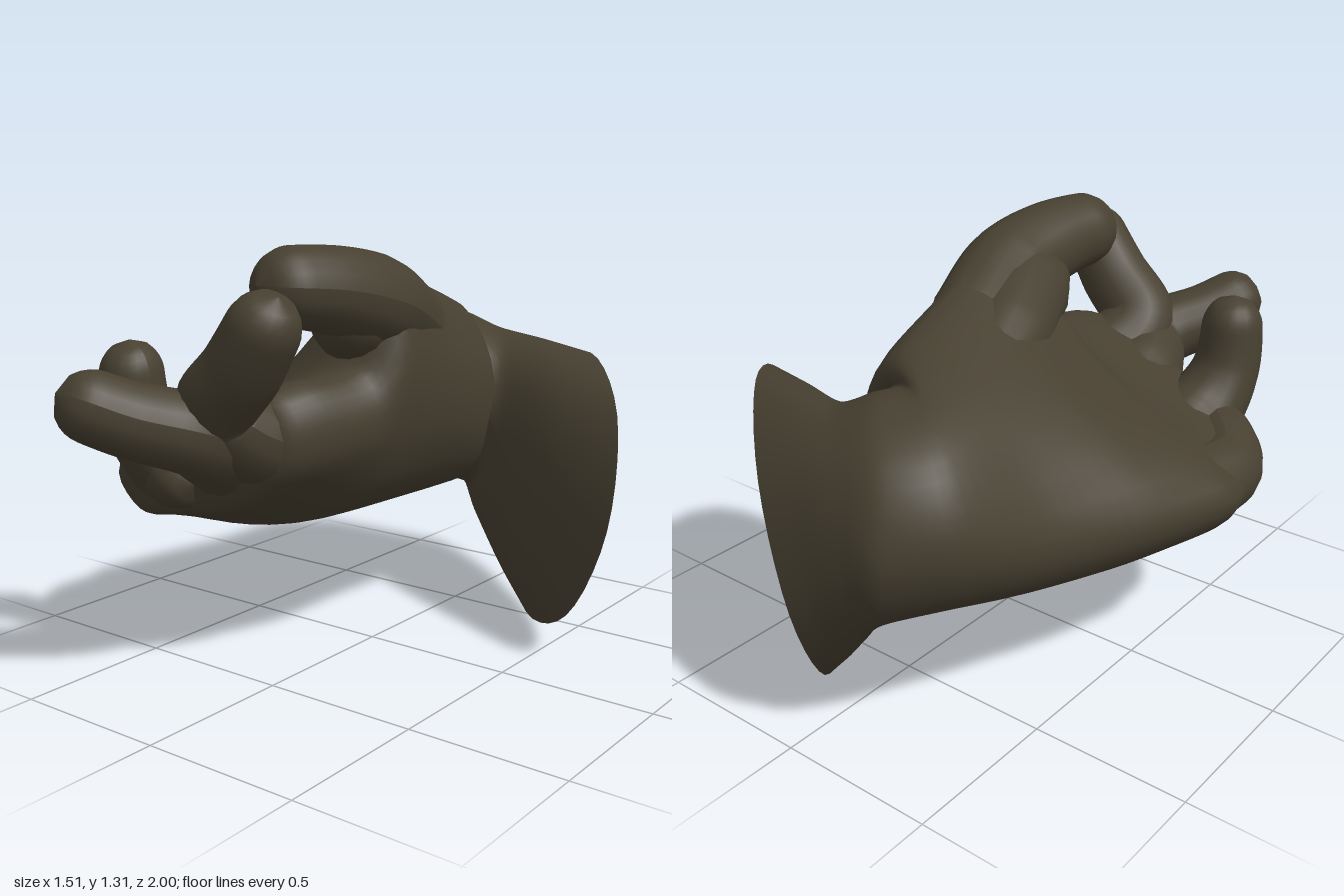
import * as THREE from 'three';

const V = (x, y, z) => new THREE.Vector3(x, y, z);

// Oval of 8 points standing on the line Q -> P in plan; lean pushes its top outwards
function oval(P, Q, yc, ry, lean = 0) {
  const out = [];
  for (let k = 0; k < 8; k++) {
    const a = Math.PI + k * Math.PI / 4, c = (Math.cos(a) + 1) / 2, s = Math.sin(a);
    out.push(V(Q[0] + (P[0] - Q[0]) * c + lean * s, yc + ry * s, Q[1] + (P[1] - Q[1]) * c - lean * s));
  }
  return out;
}

// Smooth skin through rings of 8 points, curved both along and around
function loft(rings, rows, cols) {
  const rails = rings[0].map((_, k) => new THREE.CatmullRomCurve3(rings.map(r => r[k]), false, 'catmullrom', 0.4));
  const pos = [], idx = [];
  for (let i = 0; i <= rows; i++) {
    const loop = new THREE.CatmullRomCurve3(rails.map(c => c.getPoint(i / rows)), true, 'catmullrom', 0.5);
    for (let j = 0; j < cols; j++) {
      pos.push(...loop.getPoint(j / cols).toArray());
      if (i === rows) continue;
      const a = i * cols + j, b = i * cols + (j + 1) % cols;
      idx.push(a, b, b + cols, a, b + cols, a + cols);
    }
  }
  const g = new THREE.BufferGeometry();
  g.setAttribute('position', new THREE.Float32BufferAttribute(pos, 3));
  g.setIndex(idx);
  g.computeVertexNormals();
  return g;
}

// Tapered tube with a rounded tip; each station is [x, y, z, radius]
function finger(stations) {
  const curve = new THREE.CatmullRomCurve3(stations.map(s => V(s[0], s[1], s[2])));
  const N = 40, M = 18, len = curve.getLength(), last = stations.length - 1;
  const g = new THREE.TubeGeometry(curve, N, 1, M, false);
  const p = g.attributes.position, v = V(0, 0, 0);
  for (let i = 0; i <= N; i++) {
    const t = i / N, c = curve.getPointAt(t);
    const f = curve.getUtoTmapping(t) * last, k = Math.min(Math.floor(f), last - 1);
    let r = THREE.MathUtils.lerp(stations[k][3], stations[k + 1][3], f - k);
    const s = Math.min(1, (1 - t) * len / r);
    r *= Math.sqrt(Math.max(0, 1 - (1 - s) ** 2));
    for (let j = 0; j <= M; j++) {
      const n = i * (M + 1) + j;
      v.fromBufferAttribute(p, n).sub(c).multiplyScalar(r).add(c);
      p.setXYZ(n, v.x, v.y, v.z);
    }
  }
  g.computeVertexNormals();
  return g;
}

export function createModel() {
  const group = new THREE.Group();
  const leather = new THREE.MeshStandardMaterial({ color: 0x474031, side: THREE.DoubleSide });
  leather.name = 'dark olive leather';
  const add = (name, geometry) => {
    const m = new THREE.Mesh(geometry, leather);
    m.name = name;
    group.add(m);
  };

  // Flared cuff and bent wrist, from the open rim inwards
  const rings = [
    oval([0.75, -0.17], [-0.03, -0.99], 0.455, 0.455, 0.07),
    oval([0.46, -0.31], [-0.11, -0.98], 0.53, 0.405, 0.05),
    oval([0.2, -0.45], [-0.22, -0.97], 0.62, 0.335, 0.03),
    oval([0.13, -0.47], [-0.34, -0.95], 0.69, 0.315),
    oval([0.12, -0.46], [-0.47, -0.8], 0.71, 0.31),
  ];
  // Hand sections: little-finger edge, back of the hand, thumb side, thumb ridge, palm
  const hand = [
    [-0.5, [-0.56, 0.66, -0.48, 0.46, -0.25, 0.4, 0, 0.44, 0.13, 0.62, 0.13, 0.88, -0.03, 1.07, -0.35, 0.97]],
    [-0.2, [-0.67, 0.65, -0.58, 0.44, -0.3, 0.39, 0, 0.45, 0.16, 0.68, 0.17, 0.95, 0.03, 1.16, -0.32, 0.97]],
    [0.08, [-0.735, 0.63, -0.65, 0.43, -0.35, 0.38, 0, 0.46, 0.17, 0.68, 0.21, 0.98, 0.08, 1.23, -0.3, 0.88]],
    [0.21, [-0.725, 0.6, -0.65, 0.42, -0.4, 0.37, -0.04, 0.46, 0.16, 0.68, 0.17, 0.86, 0.03, 0.94, -0.35, 0.79]],
    [0.42, [-0.67, 0.59, -0.58, 0.44, -0.38, 0.45, -0.1, 0.51, 0.1, 0.66, 0.12, 0.83, 0, 0.91, -0.35, 0.76]],
  ];
  for (const [z, s] of hand) rings.push(Array.from({ length: 8 }, (_, k) => V(s[2 * k], s[2 * k + 1], z)));
  // Rounded close behind the fingers
  const front = rings[rings.length - 1], mid = V(-0.26, 0.66, 0);
  for (const [z, f] of [[0.53, 0.8], [0.58, 0]])
    rings.push(front.map(p => V(mid.x + (p.x - mid.x) * f, mid.y + (p.y - mid.y) * f, z)));
  add('handAndCuff', loft(rings, 66, 40));

  // Mound at the root of the thumb
  add('thumbMound', finger([[-0.16, 0.92, -0.36, 0.1], [-0.08, 1, -0.12, 0.14], [0.02, 1.07, 0.1, 0.15], [0.08, 1.1, 0.3, 0.1]]));
  // Curled fingers and raised thumb
  add('thumb', finger([[0.02, 1.03, -0.14, 0.14], [0.075, 1.125, 0.1, 0.145], [0.06, 1.175, 0.3, 0.13], [0, 1.2, 0.54, 0.11]]));
  add('indexFinger', finger([[-0.02, 0.7, 0.26, 0.14], [-0.06, 0.75, 0.48, 0.14], [-0.09, 0.85, 0.61, 0.125], [0.04, 0.99, 0.64, 0.115], [0.18, 1.19, 0.65, 0.1]]));
  add('middleFinger', finger([[-0.22, 0.62, 0.26, 0.14], [-0.17, 0.71, 0.5, 0.145], [-0.13, 0.785, 0.67, 0.12], [-0.23, 0.84, 0.82, 0.11], [-0.34, 0.925, 0.98, 0.1]]));
  add('ringFinger', finger([[-0.38, 0.56, 0.22, 0.14], [-0.42, 0.63, 0.46, 0.14], [-0.455, 0.77, 0.57, 0.11], [-0.455, 1.02, 0.6, 0.09]]));
  add('littleFinger', finger([[-0.59, 0.56, 0.1, 0.13], [-0.61, 0.56, 0.32, 0.12], [-0.51, 0.6, 0.44, 0.11], [-0.24, 0.6, 0.56, 0.095]]));
  return group;
}
